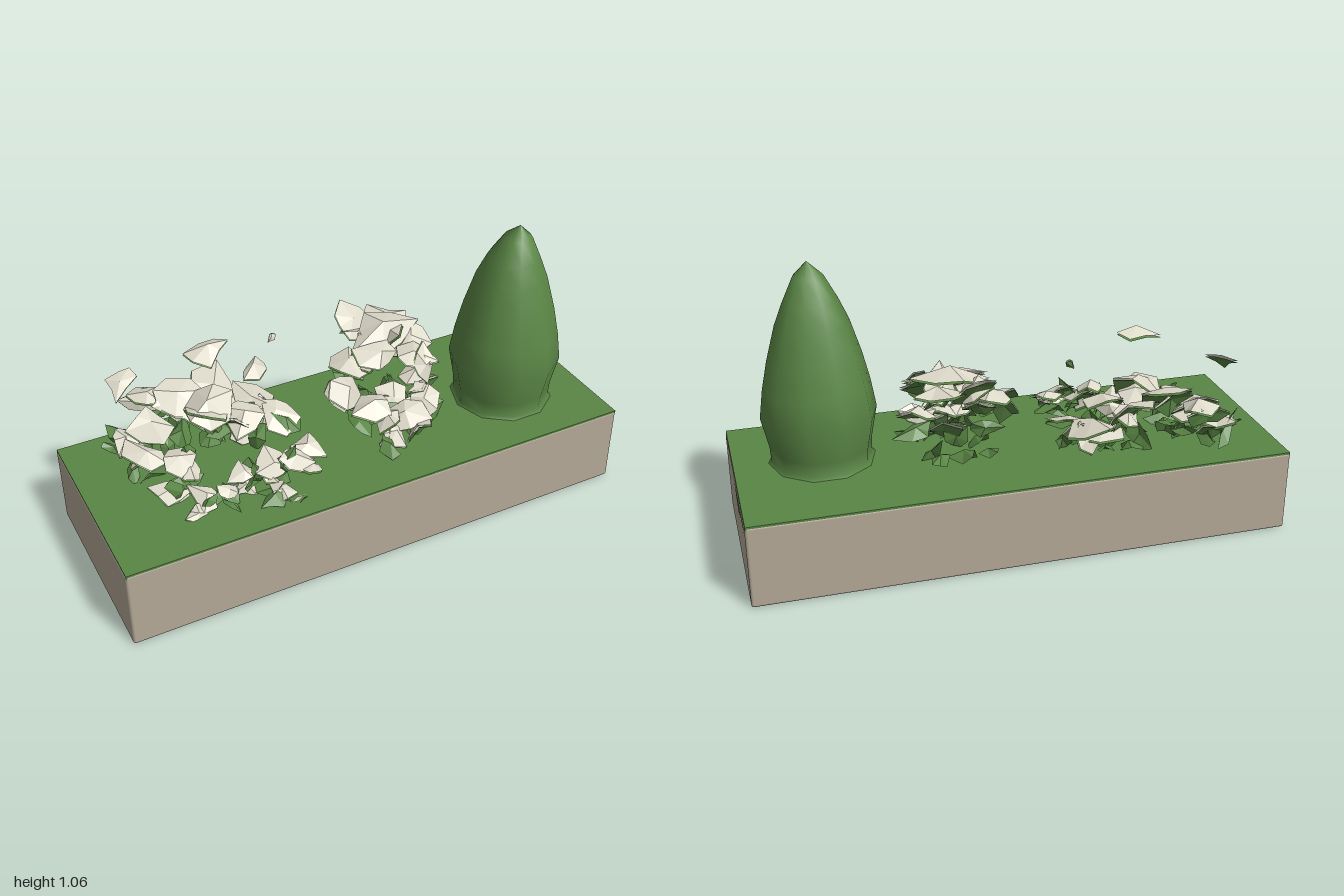
import * as THREE from 'three';
import { RoundedBoxGeometry } from 'three/addons/geometries/RoundedBoxGeometry.js';

const stone = new THREE.MeshStandardMaterial({ color: 0xb4a998 });
const green = new THREE.MeshStandardMaterial({ color: 0x5a8645, side: THREE.DoubleSide });
const leafGreen = new THREE.MeshStandardMaterial({ color: 0x5a8645, side: THREE.DoubleSide, flatShading: true });
const white = new THREE.MeshStandardMaterial({ color: 0xdfdbcb, side: THREE.DoubleSide, flatShading: true });

let seed = 11;
function rand(a = 0, b = 1) {
  seed = (seed * 16807) % 2147483647;
  return a + (b - a) * (seed / 2147483647);
}

function add(parent, name, geometry, material) {
  const mesh = new THREE.Mesh(geometry, material);
  mesh.name = name;
  parent.add(mesh);
  return mesh;
}

// Appends one jagged, slightly cupped shard; an optional green copy lines its underside
function shard(top, under, [x, y, z], r, tilt, turn, stretch = 0.85) {
  const n = 7;
  const rot = new THREE.Euler(tilt * Math.cos(turn), turn, tilt * Math.sin(turn));
  const rim = [];
  for (let i = 0; i < n; i++) {
    const a = (i / n) * Math.PI * 2, k = r * (rand() < 0.25 ? rand(1.15, 1.4) : rand(0.6, 1.05));
    rim.push(new THREE.Vector3(Math.cos(a) * k, -r * rand(0, 0.55), Math.sin(a) * k * stretch));
  }
  const place = (p, drop) => p.clone().add(new THREE.Vector3(0, drop, 0)).applyEuler(rot).add(new THREE.Vector3(x, y, z)).toArray();
  const centre = new THREE.Vector3(0, r * 0.08, 0);
  for (let i = 0; i < n; i++) {
    const a = rim[i], b = rim[(i + 1) % n];
    top.push(...place(centre, 0), ...place(b, 0), ...place(a, 0));
    if (under) under.push(...place(centre, -0.02), ...place(a, -0.008), ...place(b, -0.008));
  }
}

function shardGeometry(points) {
  const g = new THREE.BufferGeometry();
  g.setAttribute('position', new THREE.Float32BufferAttribute(points, 3));
  g.computeVertexNormals();
  return g;
}

// A flowering plant: each bloom is [x, y, z, radius], with leaves below it
function flowerPlant(parent, name, blooms, leavesPerBloom, leafTop) {
  const plant = new THREE.Group();
  plant.name = name;
  const petals = [], leaves = [];
  for (const [x, y, z, r] of blooms) {
    shard(petals, leaves, [x, y, z], r, rand(0.1, 0.7), rand(-1.2, 1.2));
    shard(petals, leaves, [x + rand(-0.05, 0.05), y - 0.04, z + rand(-0.04, 0.05)], r * 0.75, rand(0.4, 1.2), rand(0, 6.28));
    for (let i = 0; i < leavesPerBloom; i++) {
      const p = [x + rand(-0.06, 0.06), rand(0.35, Math.min(y, leafTop)), z + rand(-0.05, 0.05)];
      shard(leaves, null, p, rand(0.045, 0.08), rand(0.2, 1.4), rand(0, 6.28), 0.55);
    }
  }
  add(plant, 'petals', shardGeometry(petals), white);
  add(plant, 'leaves', shardGeometry(leaves), leafGreen);
  parent.add(plant);
}

// Tapering clipped shrub whose tip leans a little forward
function shrub(parent) {
  const profile = [[0.205, 0.322], [0.185, 0.335], [0.188, 0.39], [0.212, 0.51], [0.195, 0.62], [0.17, 0.73],
    [0.132, 0.86], [0.098, 0.94], [0.054, 1.025], [0, 1.075]].map(([r, y]) => new THREE.Vector2(r, y));
  const g = new THREE.LatheGeometry(profile, 10, Math.PI / 10);
  const pos = g.attributes.position;
  for (let i = 0; i < pos.count; i++) {
    const t = (pos.getY(i) - 0.32) / 0.755;
    pos.setX(i, pos.getX(i) + 0.673 + t * 0.01);
    pos.setZ(i, pos.getZ(i) * 1.02 + 0.073 + Math.max(0, t - 0.8) * 0.12);
  }
  add(parent, 'shrub', g, green);
}

export function createModel() {
  seed = 11;
  const model = new THREE.Group();
  model.name = 'planterWithFlowers';

  // Stone trough and planted top
  add(model, 'trough', new RoundedBoxGeometry(2, 0.313, 0.765, 2, 0.01), stone).position.set(0, 0.1675, 0.01);
  add(model, 'ground', new THREE.BoxGeometry(1.996, 0.012, 0.762), green).position.set(0, 0.321, 0.01);

  // Greenery spilling over the end wall
  const spill = new THREE.Shape([[0, 0.326], [-0.12, 0.258], [-0.18, 0.258], [-0.18, 0.295], [-0.37, 0.305], [-0.37, 0.326]]
    .map(([z, y]) => new THREE.Vector2(-z, y)));
  const flap = add(model, 'spill', new THREE.ShapeGeometry(spill), green);
  flap.rotation.y = Math.PI / 2;
  flap.position.x = 1.002;

  shrub(model);

  // Wide, low flowering plant
  flowerPlant(model, 'widePlant', [
    [-0.66, 0.54, -0.27, 0.085], [-0.78, 0.43, -0.19, 0.085], [-0.75, 0.45, -0.05, 0.09],
    [-0.66, 0.46, 0.04, 0.09], [-0.72, 0.38, 0.1, 0.065], [-0.57, 0.56, -0.19, 0.1],
    [-0.5, 0.57, -0.08, 0.12], [-0.42, 0.53, -0.22, 0.1], [-0.29, 0.46, -0.17, 0.11],
    [-0.23, 0.44, -0.08, 0.085], [-0.37, 0.5, -0.05, 0.1], [-0.69, 0.49, -0.16, 0.08],
    [-0.46, 0.47, -0.12, 0.09], [-0.35, 0.42, -0.13, 0.09],
  ], 2, 0.46);

  // Low sprigs along the front
  flowerPlant(model, 'frontSprigs', [
    [-0.62, 0.38, 0.18, 0.06], [-0.46, 0.4, 0.15, 0.06], [-0.36, 0.42, 0.18, 0.065],
    [-0.28, 0.44, 0.2, 0.065], [-0.22, 0.44, 0.16, 0.06], [-0.37, 0.37, 0.27, 0.05],
    [-0.54, 0.38, 0.2, 0.045],
  ], 2, 0.42);

  // Taller domed plant
  flowerPlant(model, 'tallPlant', [
    [0.22, 0.69, -0.08, 0.13], [0.15, 0.67, -0.19, 0.085], [0.29, 0.66, -0.17, 0.09],
    [0.32, 0.63, -0.04, 0.08], [0.28, 0.62, 0.05, 0.085], [0.16, 0.64, 0.02, 0.085],
    [0.07, 0.58, -0.07, 0.08], [0.02, 0.53, 0.03, 0.09], [0.09, 0.49, 0.1, 0.085],
    [0.19, 0.44, 0.15, 0.09], [0.29, 0.45, 0.12, 0.09], [0.32, 0.51, 0.01, 0.08],
    [0.22, 0.41, 0.02, 0.08], [0.14, 0.39, 0.18, 0.06],
  ], 1, 0.46);

  // Loose blooms above the wide plant
  const petals = [], leaves = [];
  const loose = [
    [[-0.47, 0.785, -0.11], 0.08, 0.35, 0.1], [[-0.775, 0.67, -0.2], 0.06, 0.65, 0.7],
    [[-0.28, 0.615, -0.16], 0.07, 0.25, 0.3], [[-0.2, 0.7, -0.17], 0.018, 0.9, 1],
  ];
  for (const [p, r, tilt, turn] of loose) shard(petals, leaves, p, r, tilt, turn, 0.7);
  const group = new THREE.Group();
  group.name = 'looseBlooms';
  add(group, 'petals', shardGeometry(petals), white);
  add(group, 'undersides', shardGeometry(leaves), leafGreen);
  model.add(group);

  return model;
}
